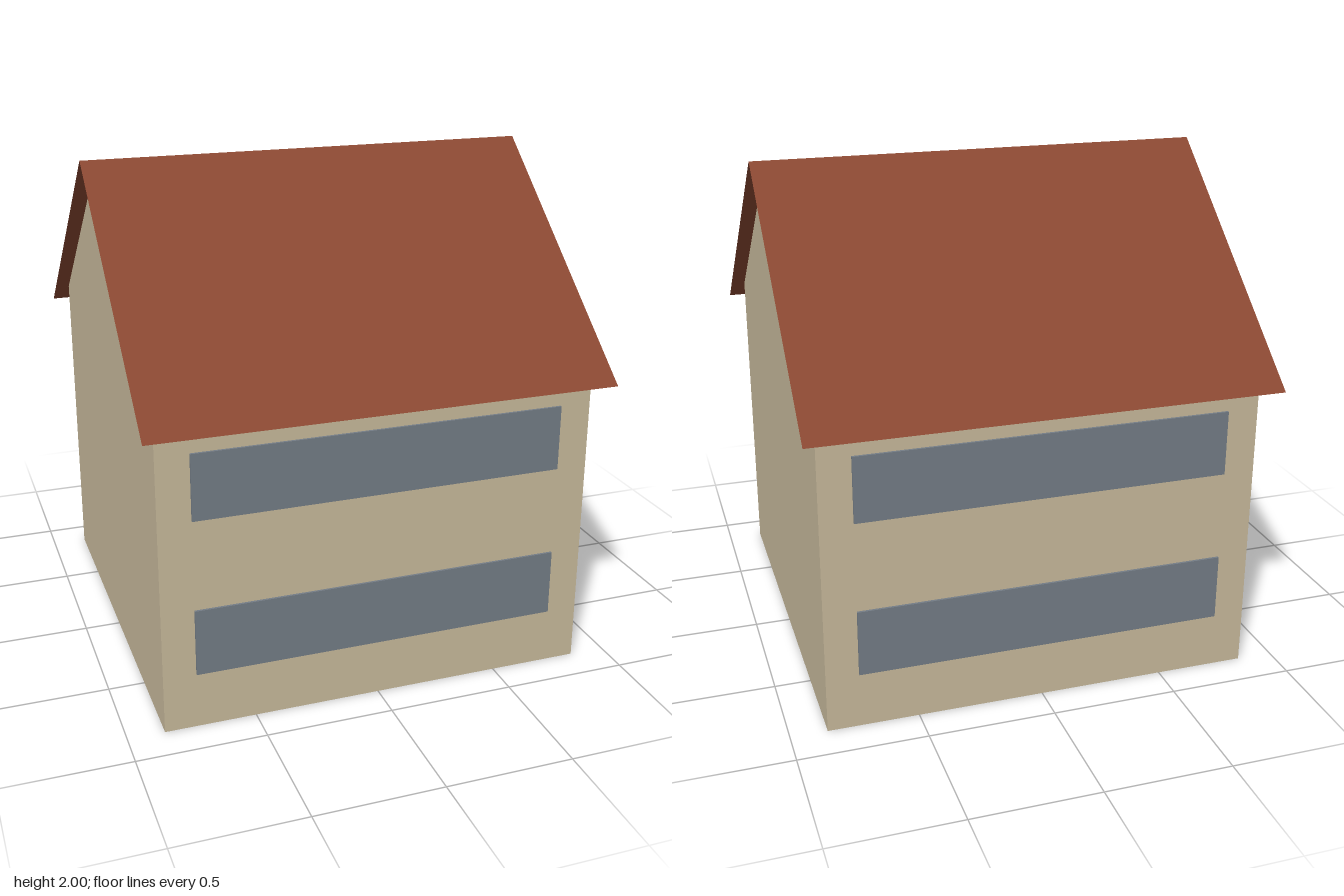
import * as THREE from 'three';

export function createModel() {
  const house = new THREE.Group();
  house.name = 'house';

  const material = (name, color, options = {}) => {
    const m = new THREE.MeshStandardMaterial({ color, ...options });
    m.name = name;
    return m;
  };
  const plaster = material('plaster', 0xc8ba9c);
  const roofTile = material('roofTile', 0x8a4832, { side: THREE.DoubleSide });
  const glass = material('windowGlass', 0x747d86);

  const add = (name, geometry, mat) => {
    const mesh = new THREE.Mesh(geometry, mat);
    mesh.name = name;
    house.add(mesh);
    return mesh;
  };

  const half = 0.857; // half width and depth of the walls

  // Walls with gables: a house-shaped profile swept along x
  const profile = new THREE.Shape([
    new THREE.Vector2(-half, 0),
    new THREE.Vector2(half, 0),
    new THREE.Vector2(half, 1.28),
    new THREE.Vector2(0, 1.98),
    new THREE.Vector2(-half, 1.28),
  ]);
  const walls = new THREE.ExtrudeGeometry(profile, { depth: 2 * half, bevelEnabled: false });
  walls.translate(0, 0, -half).rotateY(Math.PI / 2);
  add('walls', walls, plaster);

  // Roof: two thin sheets from the ridge down to the overhanging eaves
  const ridge = 2, eave = 1.2, reach = 0.955, width = 1.83;
  const slopeLength = Math.hypot(ridge - eave, reach);
  for (const side of [1, -1]) {
    const sheet = new THREE.PlaneGeometry(width, slopeLength);
    sheet.rotateX(-Math.atan2(reach, ridge - eave));
    sheet.translate(0, (ridge + eave) / 2, reach / 2);
    if (side < 0) sheet.rotateY(Math.PI);
    add(side > 0 ? 'frontRoof' : 'backRoof', sheet, roofTile);

    // Two bands of windows on this long wall
    [[0.225, 0.49], [0.85, 1.11]].forEach(([bottom, top], floor) => {
      const band = add(
        (side > 0 ? 'front' : 'back') + (floor ? 'Upper' : 'Lower') + 'Window',
        new THREE.BoxGeometry(1.46, top - bottom, 0.0095),
        glass
      );
      band.position.set(0, (top + bottom) / 2, side * (half + 0.00475));
    });
  }

  return house;
}
